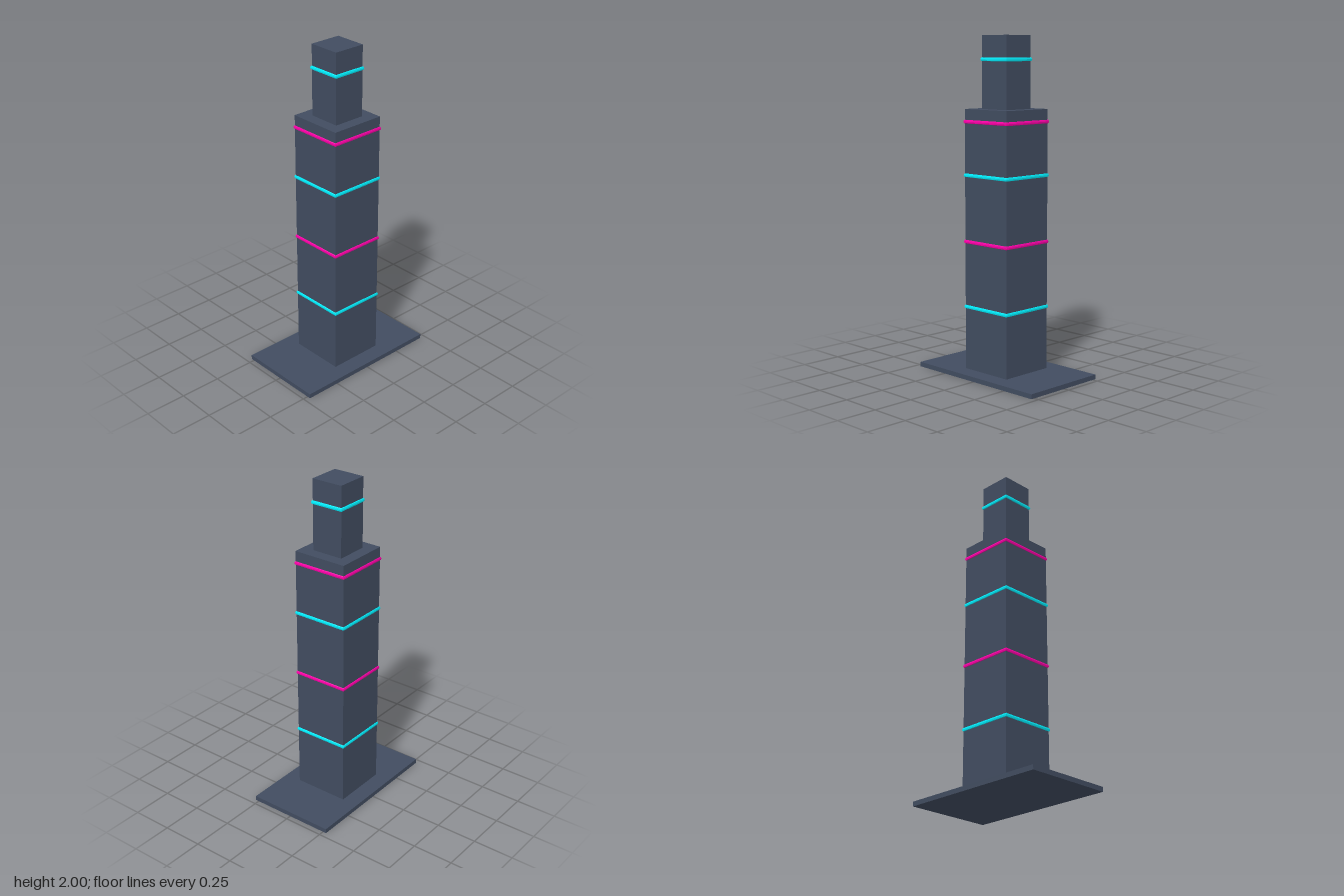
import * as THREE from 'three';
import { toCreasedNormals } from 'three/addons/utils/BufferGeometryUtils.js';

const body = new THREE.MeshStandardMaterial({ color: 0x414c60 });
const cyan = new THREE.MeshStandardMaterial({ color: 0x00f0ff });
const magenta = new THREE.MeshStandardMaterial({ color: 0xff00aa });

// Box given by its footprint and its bottom and top heights
function block(name, width, depth, bottom, top) {
  const mesh = new THREE.Mesh(new THREE.BoxGeometry(width, top - bottom, depth), body);
  mesh.name = name;
  mesh.position.y = (bottom + top) / 2;
  return mesh;
}

// Square light tube around a tower: a four-sided torus, sharp at the corners
function band(name, outerHalf, y, material) {
  const tube = 0.012;
  const torus = new THREE.TorusGeometry(outerHalf * Math.SQRT2 - tube, tube, 8, 4);
  torus.rotateZ(Math.PI / 4).rotateX(Math.PI / 2);
  const mesh = new THREE.Mesh(toCreasedNormals(torus, 1.1), material);
  mesh.name = name;
  mesh.position.y = y;
  return mesh;
}

export function createModel() {
  const model = new THREE.Group();
  model.name = 'tower';

  // Plinth and two stacked tower blocks
  model.add(
    block('base', 0.934, 0.544, 0, 0.028),
    block('lowerTower', 0.34, 0.34, 0.028, 1.576),
    block('upperTower', 0.198, 0.198, 1.576, 2),
  );

  // Alternating light bands on the lower tower
  [0.406, 0.797, 1.19, 1.503].forEach((y, i) => {
    model.add(band(`lowerBand${i + 1}`, 0.176, y, i % 2 ? magenta : cyan));
  });

  // Single band near the top
  model.add(band('upperBand', 0.106, 1.862, cyan));
  return model;
}
